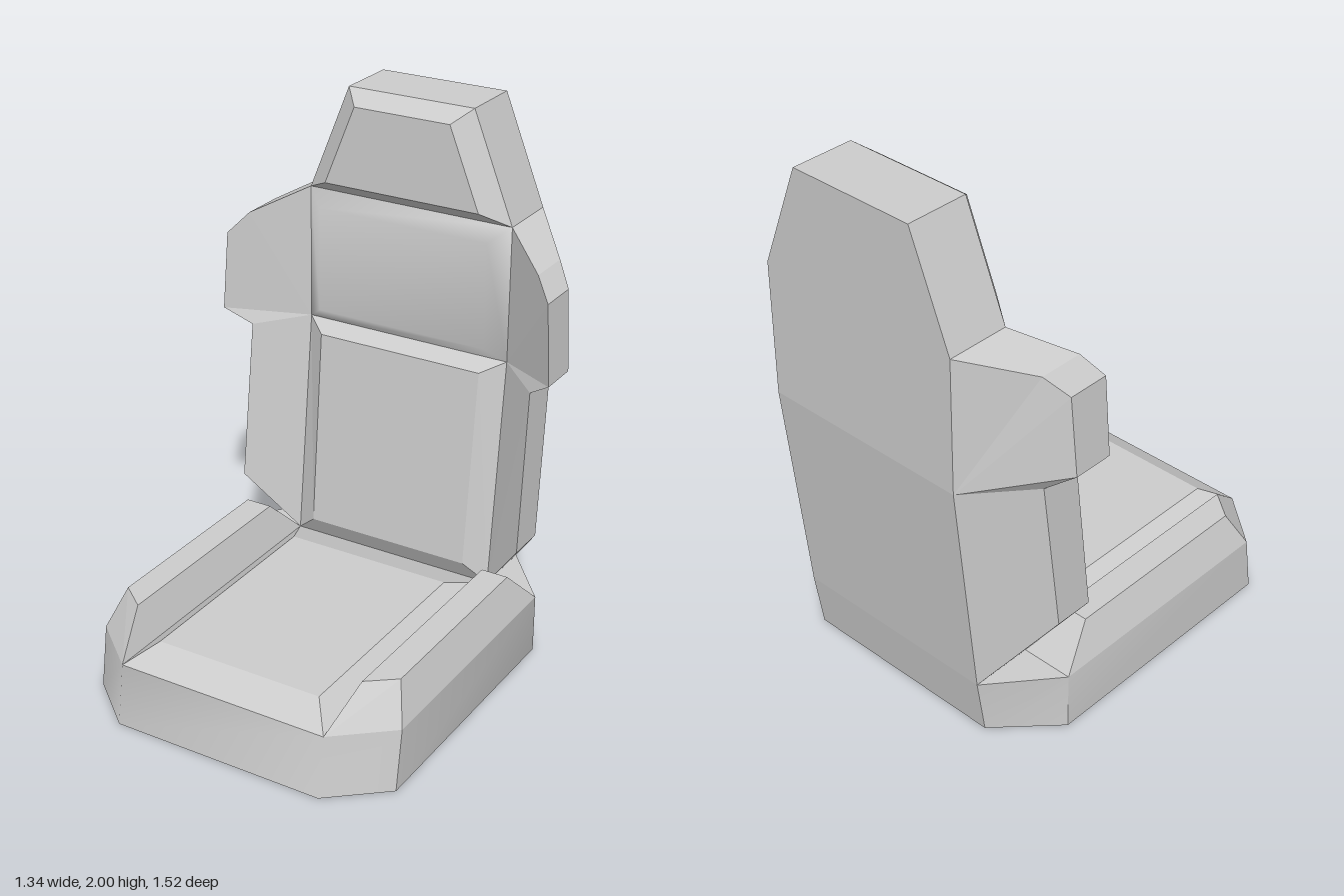
import * as THREE from 'three';
import { toCreasedNormals } from 'three/addons/utils/BufferGeometryUtils.js';

// Skins a stack of equal-length rings of [x, y, z] points and caps the ends.
// crease: angle below which edges are smoothed; 'all' shares every normal.
function loft(rings, { crease = 0, startCap = true } = {}) {
  const n = rings[0].length;
  const pts = rings.flat().map((p) => new THREE.Vector3(...p));
  const tris = [];
  for (let r = 0; r < rings.length - 1; r++) {
    for (let i = 0; i < n; i++) {
      const a = r * n + i, b = r * n + (i + 1) % n;
      tris.push([a, b, b + n], [a, b + n, a + n]);
    }
  }
  const cap = (start, flip) => {
    for (let i = 1; i < n - 1; i++) {
      const t = [start, start + i, start + i + 1];
      tris.push(flip ? t.reverse() : t);
    }
  };
  if (startCap) cap(0, true);
  cap((rings.length - 1) * n, false);

  // Turn all faces outward
  const mid = pts.reduce((s, p) => s.add(p), new THREE.Vector3()).divideScalar(pts.length);
  const volume = tris.reduce((s, t) => {
    const [a, b, c] = t.map((i) => pts[i].clone().sub(mid));
    return s + a.dot(b.cross(c));
  }, 0);
  if (volume < 0) tris.forEach((t) => t.reverse());

  const geo = new THREE.BufferGeometry().setFromPoints(pts);
  geo.setIndex(tris.flat());
  if (crease === 'all') {
    geo.computeVertexNormals();
    return geo;
  }
  if (crease > 0) return toCreasedNormals(geo, crease);
  const flat = geo.toNonIndexed();
  flat.computeVertexNormals();
  return flat;
}

// Four corners of a symmetric panel: bottom edge, then top edge
const panel = (w0, y0, z0, w1, y1, z1) => [[-w0, y0, z0], [w0, y0, z0], [w1, y1, z1], [-w1, y1, z1]];

export function createModel() {
  const group = new THREE.Group();
  const upholstery = new THREE.MeshStandardMaterial({ color: 0xcccccc });
  upholstery.name = 'grey upholstery';

  const add = (name, rings, options) => {
    const mesh = new THREE.Mesh(loft(rings, options), upholstery);
    mesh.name = name;
    group.add(mesh);
  };
  const addPair = (name, rings) => {
    for (const [side, s] of [['left', 1], ['right', -1]]) {
      add(side + name, rings.map((ring) => ring.map(([x, y, z]) => [s * x, y, z])));
    }
  };

  // Seat base: eight-sided block, tapering slightly at front and leaning back at rear
  const baseRing = (y, front, corner, rear) => {
    const half = [[0.41, front], [0.61, corner], [0.61, -0.43], [0.41, rear]];
    const mirrored = half.map(([x, z]) => [-x, z]).reverse();
    return [...half, ...mirrored].map(([x, z]) => [x, y, z]);
  };
  add('seatBase', [
    baseRing(0, 0.76, 0.59, -0.635),
    baseRing(0.225, 0.725, 0.555, -0.67),
  ], { crease: 0.75 });

  // Seat cushion and side bolsters
  add('seatCushion', [
    panel(0.41, 0.225, 0.725, 0.41, 0.225, -0.43),
    panel(0.325, 0.29, 0.615, 0.325, 0.29, -0.25),
  ]);
  addPair('SeatBolster', [
    [[0.41, 0.225, 0.725], [0.61, 0.225, 0.555], [0.61, 0.225, -0.43], [0.41, 0.225, -0.43]],
    [[0.458, 0.365, 0.56], [0.56, 0.365, 0.48], [0.56, 0.365, -0.29], [0.458, 0.365, -0.29]],
  ]);

  // Backrest core running up into the tapered headrest
  const spine = [[0.225, 0.41, -0.43, -0.67], [1.09, 0.41, -0.52, -0.76],
    [1.6, 0.41, -0.52, -0.76], [2, 0.25, -0.52, -0.76]];
  add('backrestCore', spine.map(([y, w, front, rear]) => panel(w, y, front, w, y, rear)));

  // Raised pads on the front of the backrest
  add('lowerBackPad', [
    panel(0.41, 0.225, -0.43, 0.41, 1.09, -0.52),
    panel(0.325, 0.3, -0.39, 0.33, 1.05, -0.46),
  ]);
  add('upperBackPad', [
    panel(0.41, 1.09, -0.52, 0.41, 1.6, -0.52),
    panel(0.34, 1.145, -0.465, 0.34, 1.545, -0.465),
  ], { crease: 'all', startCap: false });
  add('headrestPad', [
    panel(0.41, 1.6, -0.52, 0.25, 2, -0.52),
    panel(0.31, 1.65, -0.455, 0.19, 1.95, -0.455),
  ]);

  // Flared side wings of the backrest: front ring and rear ring
  addPair('LowerWing', [
    [[0.41, 0.225, -0.43], [0.585, 0.465, -0.305], [0.577, 1.07, -0.37], [0.41, 1.09, -0.52]],
    [[0.41, 0.225, -0.67], [0.585, 0.465, -0.455], [0.577, 1.07, -0.525], [0.41, 1.09, -0.76]],
  ]);
  addPair('ShoulderWing', [
    [[0.41, 1.09, -0.52], [0.577, 1.07, -0.37], [0.67, 1.135, -0.32],
      [0.65, 1.435, -0.325], [0.585, 1.51, -0.375], [0.41, 1.6, -0.52]],
    [[0.41, 1.09, -0.76], [0.577, 1.07, -0.525], [0.67, 1.135, -0.475],
      [0.65, 1.435, -0.485], [0.585, 1.51, -0.545], [0.41, 1.6, -0.76]],
  ]);

  return group;
}
